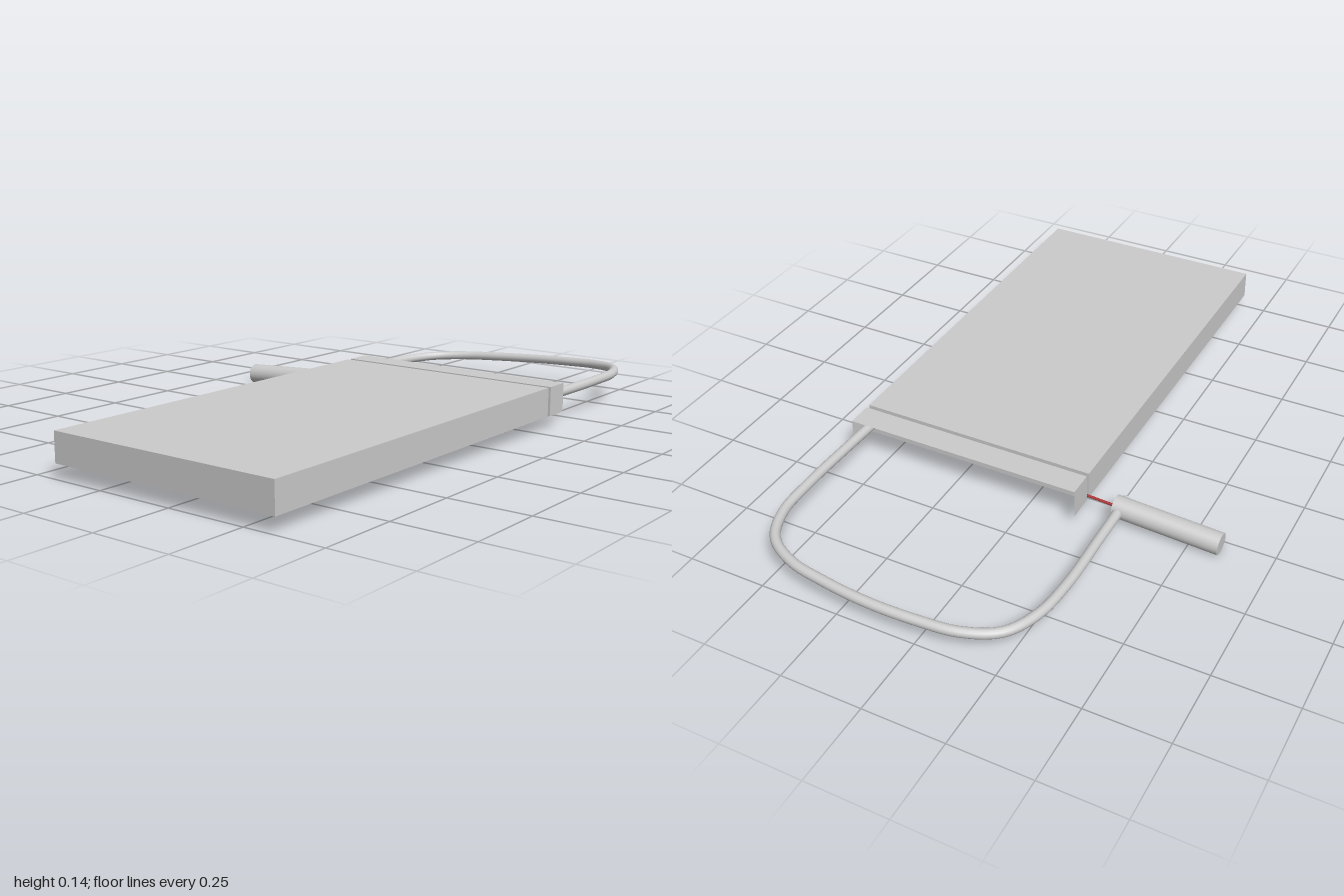
import * as THREE from 'three';

const grey = new THREE.MeshStandardMaterial({ color: 0xcccccc });
const greyThin = new THREE.MeshStandardMaterial({ color: 0xcccccc, side: THREE.DoubleSide });
const red = new THREE.MeshStandardMaterial({ color: 0xb03030 });

// Board extents and the saw cut
const BOTTOM = 0.045, TOP = 0.136, BACK = -0.172, FRONT = 0.6;
const CUT_A = 0.295, CUT_B = 0.309, END = 0.39;
const H = TOP - BOTTOM, D = FRONT - BACK, MID_Y = (TOP + BOTTOM) / 2, MID_Z = (FRONT + BACK) / 2;

// The saw lies in a plane that drops gently towards the back
const sawY = (z) => 0.066 + 0.054 * z;
const sawPoint = (x, z) => new THREE.Vector3(x, sawY(z), z);

function add(parent, name, geometry, material, x = 0, y = 0, z = 0) {
  const mesh = new THREE.Mesh(geometry, material);
  mesh.name = name;
  mesh.position.set(x, y, z);
  parent.add(mesh);
  return mesh;
}

// Rod running between two points
function rod(parent, name, a, b, radius, material, sides) {
  const mesh = add(parent, name, new THREE.CylinderGeometry(radius, radius, a.distanceTo(b), sides), material);
  mesh.position.copy(a).add(b).multiplyScalar(0.5);
  mesh.quaternion.setFromUnitVectors(new THREE.Vector3(0, 1, 0), b.clone().sub(a).normalize());
  return mesh;
}

export function createModel() {
  const model = new THREE.Group();
  model.name = 'boardWithSaw';

  // Main board
  add(model, 'board', new THREE.BoxGeometry(CUT_A + 1, H, D), grey, (CUT_A - 1) / 2, MID_Y, MID_Z);

  // Offcut: a thin shell, open below and at its outer end
  const offcut = new THREE.Group();
  offcut.name = 'offcut';
  model.add(offcut);
  const w = END - CUT_B, cx = (END + CUT_B) / 2;
  add(offcut, 'offcutTop', new THREE.PlaneGeometry(w, D).rotateX(-Math.PI / 2), greyThin, cx, TOP, MID_Z);
  add(offcut, 'offcutFront', new THREE.PlaneGeometry(w, H), greyThin, cx, MID_Y, FRONT);
  add(offcut, 'offcutBack', new THREE.PlaneGeometry(w, H).rotateY(Math.PI), greyThin, cx, MID_Y, BACK);
  add(offcut, 'offcutCutFace', new THREE.PlaneGeometry(D, H).rotateY(-Math.PI / 2), greyThin, CUT_B, MID_Y, MID_Z);

  // Saw
  const saw = new THREE.Group();
  saw.name = 'saw';
  model.add(saw);

  // Bent frame
  const path = [
    [0.26, -0.28], [0.45, -0.283], [0.66, -0.285], [0.8, -0.268], [0.9, -0.218], [0.955, -0.12], [0.975, 0],
    [0.984, 0.15], [0.975, 0.3], [0.955, 0.42], [0.9, 0.515], [0.8, 0.562], [0.66, 0.572], [0.45, 0.57], [0.3, 0.566],
  ].map(([x, z]) => sawPoint(x, z));
  const curve = new THREE.CatmullRomCurve3(path);
  add(saw, 'frame', new THREE.TubeGeometry(curve, 90, 0.0155, 14), grey);

  // Caps on the frame ends
  for (const t of [0, 1]) {
    const dir = curve.getTangentAt(t).multiplyScalar(t ? 0.001 : -0.001);
    const p = curve.getPointAt(t);
    rod(saw, 'frameEnd', p, p.clone().add(dir), 0.0155, grey, 14);
  }

  // Blade
  rod(saw, 'blade', sawPoint(0.301, -0.29), sawPoint(0.301, 0.57), 0.004, red, 8);

  // Handle
  rod(saw, 'handle', new THREE.Vector3(0.3, 0.052, -0.262), new THREE.Vector3(0.3, 0.034, -0.598), 0.034, grey, 32);

  return model;
}
